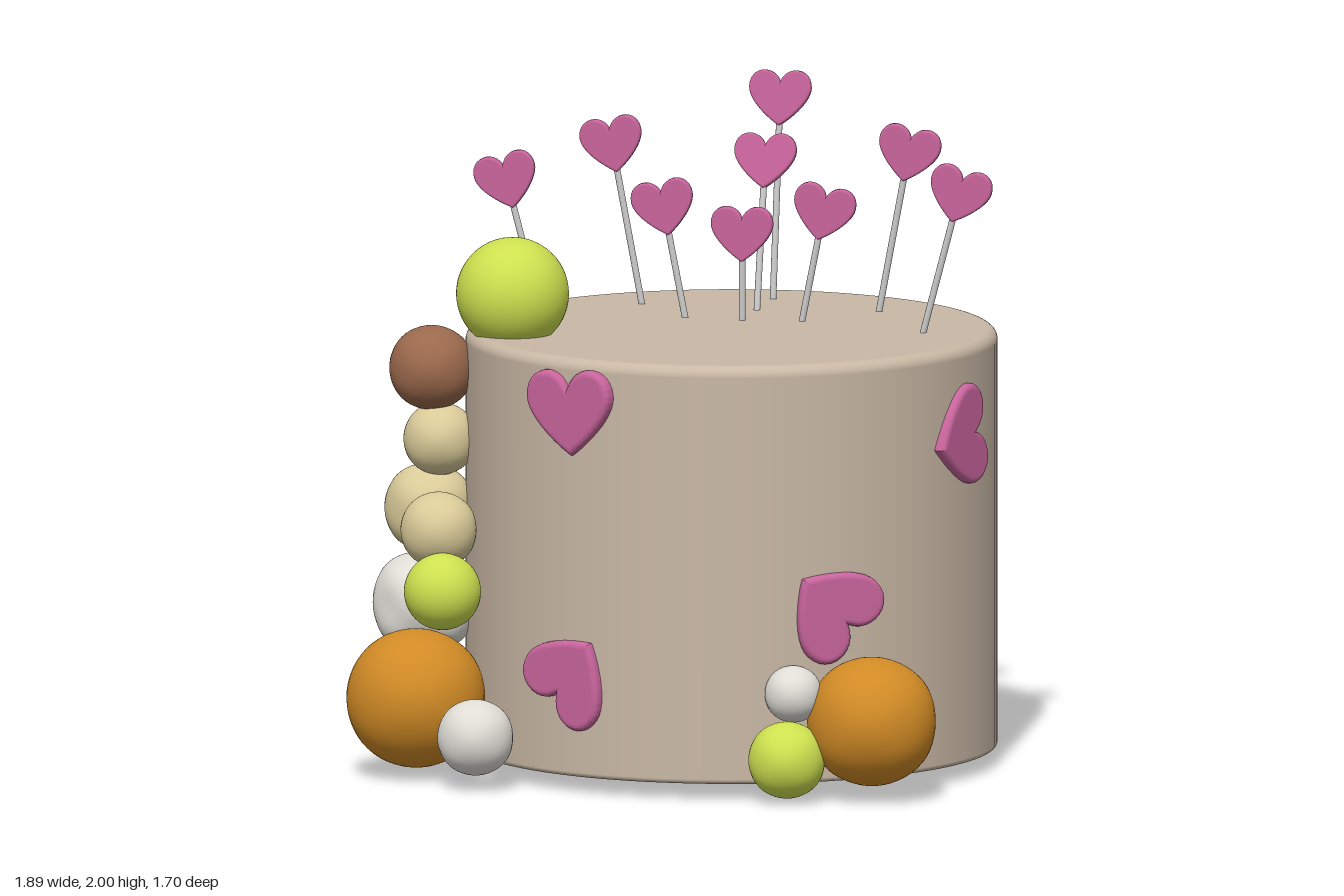
import * as THREE from 'three';

const mat = (color) => new THREE.MeshStandardMaterial({ color });
const M = {
  cake: mat(0xc9b8a5), pink: mat(0xc8649c), rod: mat(0xcccccc), lime: mat(0xcde04f),
  orange: mat(0xd08a25), brown: mat(0x9b694c), cream: mat(0xd9ca98), white: mat(0xe0ddd6),
};
const CX = 0.12, CZ = -0.05, R = 0.8, TOP = 1.33;

function add(parent, name, geometry, material) {
  const mesh = new THREE.Mesh(geometry, material);
  mesh.name = name;
  parent.add(mesh);
  return mesh;
}

// Rounded-edge heart, centred on the origin and facing +z
function heartGeometry(w, h, depth, bevel) {
  const s = new THREE.Shape();
  s.moveTo(0, -0.5 * h);
  s.bezierCurveTo(0.12 * w, -0.42 * h, 0.5 * w, -0.08 * h, 0.5 * w, 0.2 * h);
  s.bezierCurveTo(0.5 * w, 0.58 * h, 0.1 * w, 0.62 * h, 0, 0.3 * h);
  s.bezierCurveTo(-0.1 * w, 0.62 * h, -0.5 * w, 0.58 * h, -0.5 * w, 0.2 * h);
  s.bezierCurveTo(-0.5 * w, -0.08 * h, -0.12 * w, -0.42 * h, 0, -0.5 * h);
  const g = new THREE.ExtrudeGeometry(s, {
    depth: depth - 2 * bevel, curveSegments: 12, bevelEnabled: true,
    bevelThickness: bevel, bevelSize: bevel, bevelOffset: -bevel, bevelSegments: 4,
  });
  return g.translate(0, 0, bevel - depth / 2);
}

// Sphere with an optional gentle hand-rolled unevenness
function ballGeometry(r, lump) {
  const g = new THREE.SphereGeometry(r, 40, 28);
  const p = g.attributes.position, n = g.attributes.normal;
  const v = new THREE.Vector3();
  const shape = (d) => {
    const k = 1 + lump * (Math.sin(4 * d.x + 1) * Math.cos(4.5 * d.y) + 0.6 * Math.sin(5 * d.z + 3 * d.y));
    return d.clone().multiplyScalar(r * k);
  };
  const e = 0.01;
  for (let i = 0; i < p.count; i++) {
    v.fromBufferAttribute(p, i).normalize();
    // Normals from two nearby surface samples, so the seam stays smooth
    const t = new THREE.Vector3(Math.abs(v.y) > 0.9 ? 1 : 0, Math.abs(v.y) > 0.9 ? 0 : 1, 0).cross(v).normalize();
    const b = v.clone().cross(t);
    const q = shape(v);
    const du = shape(v.clone().addScaledVector(t, e).normalize()).sub(q);
    const dv = shape(v.clone().addScaledVector(b, e).normalize()).sub(q);
    const nn = du.cross(dv).normalize();
    p.setXYZ(i, q.x, q.y, q.z);
    n.setXYZ(i, nn.x, nn.y, nn.z);
  }
  return g;
}

// Cake profile with softened top and bottom rims
function cakeGeometry() {
  const path = new THREE.Path();
  const a = 0.035, b = 0.015, y0 = 0.06;
  path.moveTo(0, y0);
  path.lineTo(R - b, y0);
  path.absarc(R - b, y0 + b, b, -Math.PI / 2, 0, false);
  path.lineTo(R, TOP - a);
  path.absarc(R - a, TOP - a, a, 0, Math.PI / 2, false);
  path.lineTo(0, TOP);
  return new THREE.LatheGeometry(path.getPoints(8), 96);
}

// Heart on a stick, leaning from its foot on the cake to the heart centre
function topper(parent, foot, centre) {
  const g = new THREE.Group();
  g.name = 'heartTopper';
  const a = new THREE.Vector3(...foot), dir = new THREE.Vector3(...centre).sub(a);
  const len = dir.length(), sink = 0.04;
  g.position.copy(a);
  g.quaternion.setFromUnitVectors(new THREE.Vector3(0, 1, 0), dir.normalize());
  const rodLen = len - 0.05 + sink;
  add(g, 'stick', new THREE.CylinderGeometry(0.01, 0.01, rodLen, 12), M.rod).position.y = rodLen / 2 - sink;
  add(g, 'topperHeart', heartGeometry(0.19, 0.165, 0.028, 0.007), M.pink).position.y = len;
  parent.add(g);
}

export function createModel() {
  const root = new THREE.Group();
  root.name = 'heartCake';

  add(root, 'cake', cakeGeometry(), M.cake).position.set(CX, 0, CZ);

  // Mirrored pairs of toppers: foot offset, heart offset, heart height, depth
  for (const [fx, hx, y, z] of [[0.585, 0.695, 1.75, -0.07], [0.365, 0.455, 1.81, -0.46], [0.18, 0.245, 1.66, -0.22]]) {
    for (const s of [-1, 1]) topper(root, [CX + s * fx, TOP, z], [CX + s * hx, y, z]);
  }
  // Middle row: heart height, foot depth, heart depth
  for (const [y, fz, hz] of [[1.59, -0.2, -0.2], [1.765, -0.41, -0.525], [1.925, -0.64, -0.74]]) {
    topper(root, [CX, TOP, fz], [CX, y, hz]);
  }

  // Hearts on the cake wall: angle round the cake, height, roll (degrees)
  for (const [angle, y, roll] of [[-25, 1.165, 4], [-25, 0.37, 143], [71, 1.055, -80], [34, 0.59, -135]]) {
    const holder = new THREE.Group();
    holder.name = 'wallHeartHolder';
    holder.position.set(CX, y, CZ);
    holder.rotation.y = THREE.MathUtils.degToRad(angle);
    const h = add(holder, 'wallHeart', heartGeometry(0.31, 0.255, 0.05, 0.018), M.pink);
    h.position.z = R - 0.003;
    h.rotation.z = THREE.MathUtils.degToRad(roll);
    root.add(holder);
  }

  // Balls stacked beside the cake: material, x, y, z, radius, unevenness
  const balls = [
    ['lime', -0.5, 1.45, 0.2, 0.17, 0],
    ['brown', -0.75, 1.215, 0.19, 0.128, 0.012],
    ['cream', -0.725, 1.0, 0.19, 0.11, 0.012],
    ['cream', -0.765, 0.785, 0.16, 0.134, 0.025],
    ['cream', -0.69, 0.75, 0.37, 0.115, 0.01],
    ['white', -0.77, 0.5, 0.2, 0.155, 0.045],
    ['white', -0.77, 0.17, 0.13, 0.158, 0.045],
    ['lime', -0.655, 0.58, 0.48, 0.116, 0],
    ['orange', -0.74, 0.25, 0.46, 0.21, 0.008],
    ['white', -0.51, 0.17, 0.68, 0.115, 0.012],
    ['white', 0.47, 0.335, 0.69, 0.086, 0.01],
    ['orange', 0.7, 0.25, 0.635, 0.195, 0.012],
    ['lime', 0.46, 0.14, 0.735, 0.116, 0.012],
  ];
  for (const [kind, x, y, z, r, lump] of balls) {
    add(root, kind + 'Ball', ballGeometry(r, lump), M[kind]).position.set(x, y, z);
  }
  return root;
}
